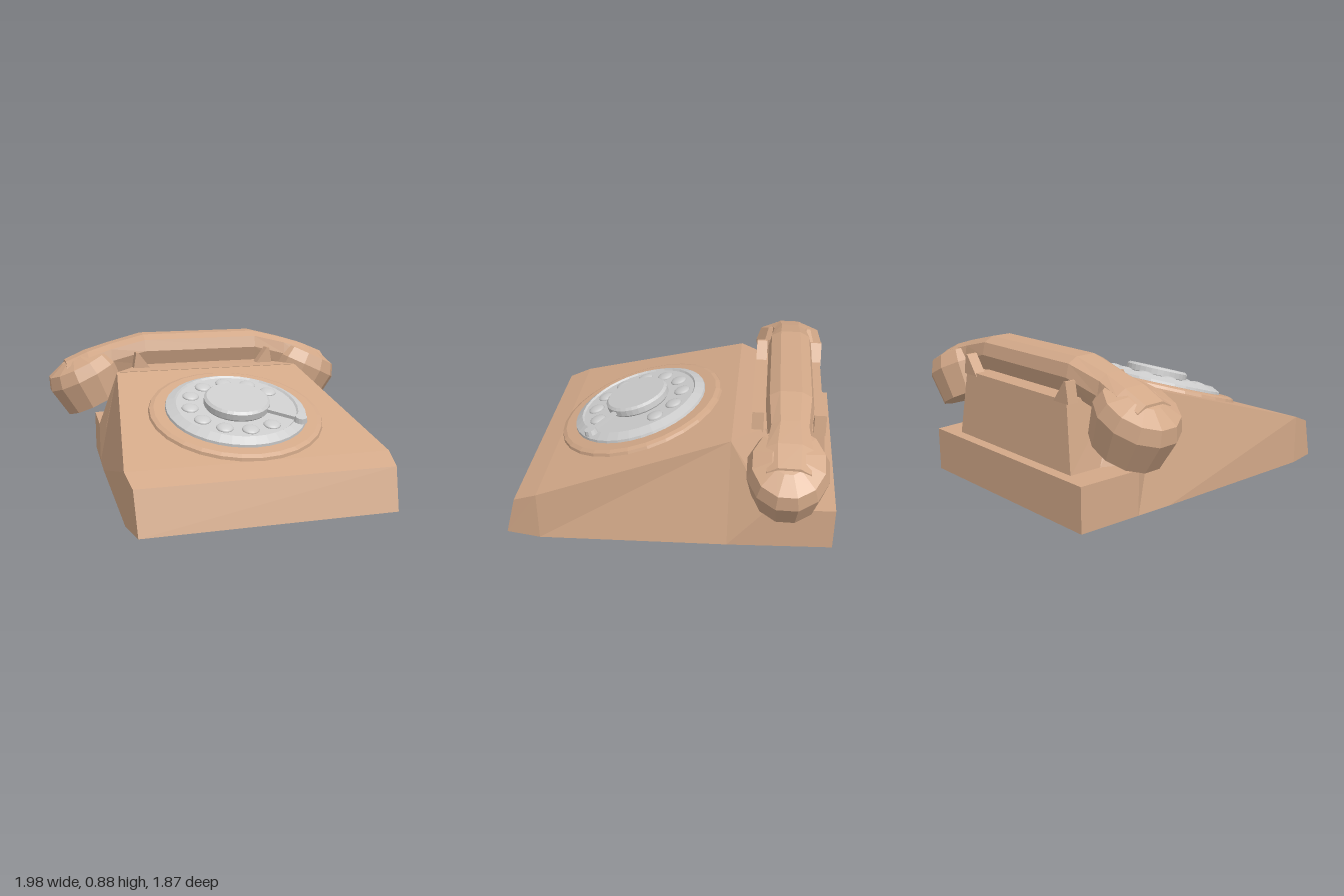
import * as THREE from 'three';

const mat = (color) => new THREE.MeshStandardMaterial({ color, flatShading: true });
const tan = mat(0xd2a888), metal = mat(0xbfbfbf), rubber = mat(0x555555);

function add(parent, name, geometry, material) {
  const mesh = new THREE.Mesh(geometry, material);
  mesh.name = name;
  parent.add(mesh);
  return mesh;
}

// Completes half a ring by mirroring it across one axis (0 = x, 2 = z)
function mirrorRing(half, axis) {
  const other = half.map((p) => p.map((v, i) => (i === axis ? -v : v))).reverse();
  return [...half, ...other];
}

// Skins a row of mirrored rings and closes both ends
function loft(rings) {
  const n = rings[0].length;
  let tris = [];
  const quad = (a, b, c, d) => tris.push([a, b, c], [a, c, d]);
  for (let r = 0; r < rings.length - 1; r++) {
    for (let i = 0; i < n; i++) {
      const j = (i + 1) % n;
      quad(rings[r][i], rings[r][j], rings[r + 1][j], rings[r + 1][i]);
    }
  }
  const first = rings[0], last = rings[rings.length - 1];
  for (let i = 0; i < n / 2 - 1; i++) {
    quad(first[i + 1], first[i], first[n - 1 - i], first[n - 2 - i]);
    quad(last[i], last[i + 1], last[n - 2 - i], last[n - 1 - i]);
  }
  // Turn all faces outward if the enclosed volume comes out negative
  const v = (p) => new THREE.Vector3(...p);
  const volume = tris.reduce((s, [a, b, c]) => s + v(a).dot(v(b).cross(v(c))), 0);
  if (volume < 0) tris = tris.map(([a, b, c]) => [a, c, b]);
  const geo = new THREE.BufferGeometry();
  geo.setAttribute('position', new THREE.Float32BufferAttribute(tris.flat(2), 3));
  geo.computeVertexNormals();
  return geo;
}

const lathe = (pts, sides, start = 0) =>
  new THREE.LatheGeometry(pts.map(([r, y]) => new THREE.Vector2(r, y)), sides, start);

function buildBody(model) {
  // Wedge housing: bottom z, bottom half width, top z, top y, top half width
  const sections = [
    [0.93, 0.725, 0.865, 0.29, 0.735],
    [0.73, 0.755, 0.73, 0.345, 0.755],
    [-0.34, 0.705, -0.34, 0.68, 0.6],
    [-0.56, 0.69, -0.56, 0.305, 0.69],
    [-0.935, 0.665, -0.935, 0.305, 0.665],
  ];
  add(model, 'housing', loft(sections.map(([zb, wb, zt, yt, wt]) =>
    mirrorRing([[wb, 0.05, zb], [wt, yt, zt]], 0))), tan);

  // Cradle neck flaring into the housing
  const low = [[0.66, 0.3, -0.48], [0.57, 0.3, -0.58], [0.52, 0.3, -0.68], [0.51, 0.3, -0.872]];
  const high = [[0.6, 0.682, -0.342], [0.51, 0.686, -0.44], [0.46, 0.686, -0.52], [0.455, 0.686, -0.845]];
  add(model, 'cradleNeck', loft([mirrorRing(low, 0), mirrorRing(high, 0)]), tan);

  // Four horns that hold the handset
  for (const side of [-1, 1]) {
    for (const z of [-0.51, -0.85]) {
      const ring = (depth) => mirrorHorn(side, z + depth);
      add(model, 'cradleHorn', loft([ring(0), ring(0.065)]), tan);
    }
  }

  // Feet
  for (const x of [-0.535, 0.535]) {
    for (const z of [0.755, -0.765]) {
      const foot = add(model, 'foot', new THREE.CylinderGeometry(0.065, 0.04, 0.055, 10), rubber);
      foot.position.set(x, 0.0275, z);
    }
  }
}

const mirrorHorn = (side, z) =>
  [[0.355, 0.67], [0.44, 0.785], [0.455, 0.785], [0.475, 0.67]].map(([x, y]) => [side * x, y, z]);

function buildDial(model) {
  const dial = new THREE.Group();
  dial.name = 'dial';
  dial.position.set(0, 0.495, 0.24);
  dial.rotation.x = Math.atan2(0.335, 1.07);
  model.add(dial);

  add(dial, 'dialSurround', lathe([[0.525, -0.02], [0.51, 0.02], [0.485, 0.03], [0, 0.03]], 28), tan);
  add(dial, 'dialPlate', lathe([[0.42, 0.02], [0.415, 0.045], [0.365, 0.07], [0.355, 0.06], [0, 0.06]], 36), metal);
  add(dial, 'dialHub', lathe([[0.18, 0.05], [0.195, 0.07], [0.195, 0.105], [0.18, 0.118], [0, 0.118]], 32), metal);

  // Ten domed finger positions
  const smooth = new THREE.MeshStandardMaterial({ color: 0xbfbfbf });
  for (let i = 0; i < 10; i++) {
    const a = THREE.MathUtils.degToRad(30 + i * 30);
    const dome = add(dial, 'fingerSpot', new THREE.SphereGeometry(0.05, 16, 8), smooth);
    dome.scale.y = 0.35;
    dome.position.set(0.28 * Math.cos(a), 0.062, -0.28 * Math.sin(a));
  }

  // Finger stop
  const stop = new THREE.Group();
  stop.name = 'fingerStop';
  stop.rotation.y = THREE.MathUtils.degToRad(-38);
  dial.add(stop);
  add(stop, 'stopArm', new THREE.BoxGeometry(0.22, 0.02, 0.03), metal).position.set(0.29, 0.088, 0);
  add(stop, 'stopTip', new THREE.CylinderGeometry(0.034, 0.04, 0.03, 12), metal).position.set(0.395, 0.088, 0);
}

function buildHandset(model) {
  const handset = new THREE.Group();
  handset.name = 'handset';
  handset.position.z = -0.65;
  model.add(handset);

  // Grip: x, top, bottom, half depth
  const half = [
    [0.38, 0.885, 0.692, 0.133],
    [0.6, 0.83, 0.63, 0.115],
    [0.75, 0.785, 0.58, 0.14],
    [0.89, 0.725, 0.56, 0.13],
  ];
  const all = [...half.map(([x, ...rest]) => [-x, ...rest]).reverse(), ...half];
  add(handset, 'grip', loft(all.map(([x, top, bottom, w]) => mirrorRing([
    [x, top, 0.45 * w],
    [x, top - 0.03, 0.87 * w],
    [x, bottom + 0.47 * (top - bottom), w],
    [x, bottom, 0.75 * w],
  ], 2))), tan);

  // Ear and mouth cups, tilted inward
  const profile = [[0, 0], [0.215, 0], [0.247, 0.19], [0.215, 0.27], [0.1, 0.31], [0, 0.315]];
  for (const side of [-1, 1]) {
    const cup = add(handset, side > 0 ? 'leftCup' : 'rightCup', lathe(profile, 12, Math.PI / 12), tan);
    cup.scale.z = 0.9;
    cup.position.set(side * 0.69, 0.462, 0);
    cup.rotation.z = -side * Math.atan2(0.42, 0.9);
  }
}

export function createModel() {
  const model = new THREE.Group();
  model.name = 'rotaryTelephone';
  buildBody(model);
  buildDial(model);
  buildHandset(model);
  return model;
}
